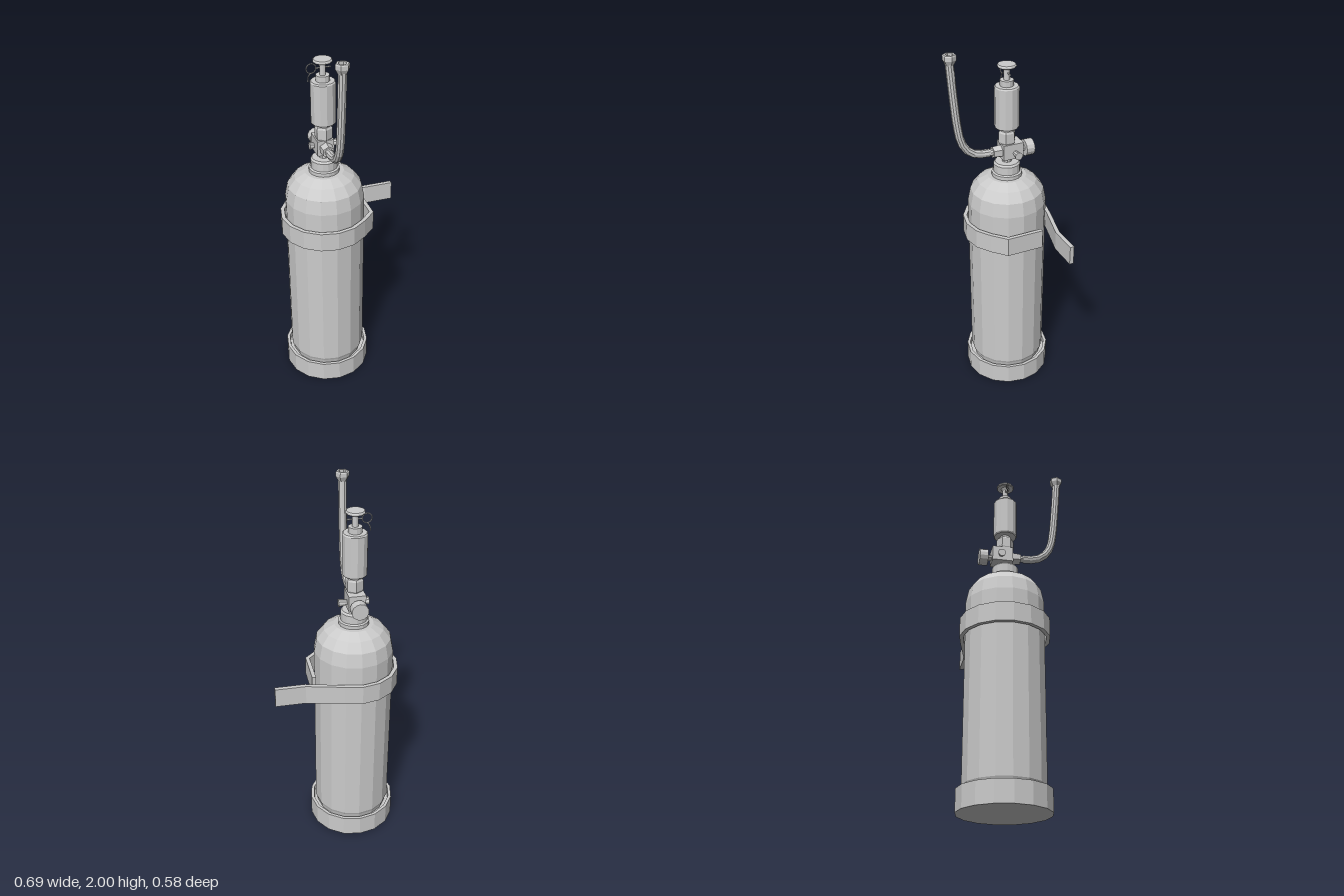
import * as THREE from 'three';

const mat = new THREE.MeshStandardMaterial({ color: 0xcccccc, flatShading: true, side: THREE.DoubleSide });
const CX = -0.107, CZ = -0.047; // vertical axis of the cylinder

export function createModel() {
  const root = new THREE.Group();

  const add = (name, geo, x = 0, y = 0, z = 0) => {
    const m = new THREE.Mesh(geo, mat);
    m.name = name;
    m.position.set(x, y, z);
    root.add(m);
    return m;
  };
  // turned part from [radius, height] pairs
  const turn = (name, pts, sides) =>
    add(name, new THREE.LatheGeometry(pts.map(p => new THREE.Vector2(p[0], p[1])), sides), CX, 0, CZ);
  // cylinder lying along z or x, from a to b
  const alongZ = (name, r1, r2, a, b, y, sides, x = CX) =>
    add(name, new THREE.CylinderGeometry(r2, r1, b - a, sides).rotateX(Math.PI / 2), x, y, (a + b) / 2);
  const alongX = (name, r1, r2, a, b, y, z, sides) =>
    add(name, new THREE.CylinderGeometry(r2, r1, b - a, sides).rotateZ(-Math.PI / 2), (a + b) / 2, y, z);

  // tank with domed shoulder, and its base cup
  turn('tank', [[0, 0.09], [0.2, 0.09], [0.207, 0.118], [0.214, 0.135], [0.214, 1.13], [0.199, 1.205],
    [0.16, 1.255], [0.105, 1.285], [0, 1.285]], 16);
  turn('baseCup', [[0, 0], [0.242, 0], [0.242, 0.117], [0.225, 0.117], [0.222, 0.09], [0, 0.09]], 16);

  // neck collar and valve stem
  turn('neckCollar', [[0.082, 1.27], [0.082, 1.305], [0.072, 1.31], [0.072, 1.355], [0.064, 1.366], [0, 1.366]], 16);
  turn('valveStem', [[0.026, 1.36], [0.026, 1.395]], 10);

  // valve block with a hex nut above it
  add('valveBlock', new THREE.BoxGeometry(0.09, 0.085, 0.115), CX, 1.432, -0.067);
  turn('upperNut', [[0, 1.47], [0.042, 1.47], [0.048, 1.483], [0.048, 1.535], [0.042, 1.546], [0, 1.546]], 6);
  turn('actuatorNeck', [[0.028, 1.54], [0.028, 1.57]], 12);

  // actuator body and its push button
  turn('actuatorBody', [[0, 1.562], [0.061, 1.562], [0.066, 1.57], [0.066, 1.785], [0.061, 1.792], [0, 1.792]], 12);
  turn('actuatorCap', [[0.036, 1.79], [0.036, 1.823], [0, 1.823]], 12);
  turn('plunger', [[0.016, 1.82], [0.016, 1.875], [0.024, 1.89], [0.046, 1.89], [0.05, 1.895],
    [0.05, 1.9], [0.046, 1.906], [0, 1.906]], 12);

  // safety pin, pull ring and hanging tag
  alongX('safetyPin', 0.004, 0.004, -0.145, -0.065, 1.86, CZ, 6);
  add('pullRing', new THREE.TorusGeometry(0.025, 0.003, 5, 14), -0.166, 1.861, CZ);
  const wire = new THREE.CatmullRomCurve3([[-0.166, 1.838, CZ], [-0.18, 1.82, CZ - 0.004], [-0.184, 1.795, CZ]]
    .map(p => new THREE.Vector3(...p)));
  add('tagWire', new THREE.TubeGeometry(wire, 5, 0.003, 5));

  // rear hand wheel
  alongZ('wheelShaft', 0.017, 0.017, -0.15, -0.12, 1.42, 10);
  alongZ('handWheel', 0.045, 0.045, -0.194, -0.147, 1.42, 14);

  // side ports of the valve block
  alongX('leftPort', 0.013, 0.022, -0.065, -0.017, 1.423, -0.076, 10);
  alongX('rightPort', 0.022, 0.013, -0.176, -0.148, 1.423, -0.076, 10);

  // hose with its end fittings
  alongZ('hoseNut', 0.036, 0.032, -0.012, 0.037, 1.43, 6);
  alongZ('hoseFerrule', 0.02, 0.018, 0.035, 0.06, 1.432, 10);
  const path = new THREE.CatmullRomCurve3([[0.055, 1.432], [0.11, 1.436], [0.165, 1.458], [0.208, 1.515],
    [0.228, 1.6], [0.243, 1.74], [0.26, 1.96]].map(([z, y]) => new THREE.Vector3(CX, y, z)));
  add('hose', new THREE.TubeGeometry(path, 14, 0.022, 10));
  const end = turn('hoseEndNut', [[0, 1.95], [0.023, 1.95], [0.036, 1.974], [0.036, 1.994], [0.032, 2],
    [0.021, 2], [0.021, 1.985], [0, 1.985]], 6);
  end.geometry.rotateY(Math.PI / 6);
  end.position.z = 0.258;

  // wall strap: hugs the tank, ends in a long tail and a short flat lug
  const arc = r => Array.from({ length: 12 }, (_, i) => {
    const a = (1 - i) * Math.PI / 8;
    return [CX + r * Math.sin(a), CZ - r * Math.cos(a)];
  });
  const outline = [[0.345, -0.224], [0.183, -0.224], ...arc(0.243), [0.137, 0.058], [0.137, -0.147],
    [0.116, -0.147], [0.116, 0.047], ...arc(0.222).reverse(), [0.183, -0.201], [0.345, -0.201]];
  const shape = new THREE.Shape(outline.map(p => new THREE.Vector2(...p)));
  add('wallStrap', new THREE.ExtrudeGeometry(shape, { depth: 0.105, bevelEnabled: false }).rotateX(Math.PI / 2), 0, 1.032, 0);

  return root;
}
